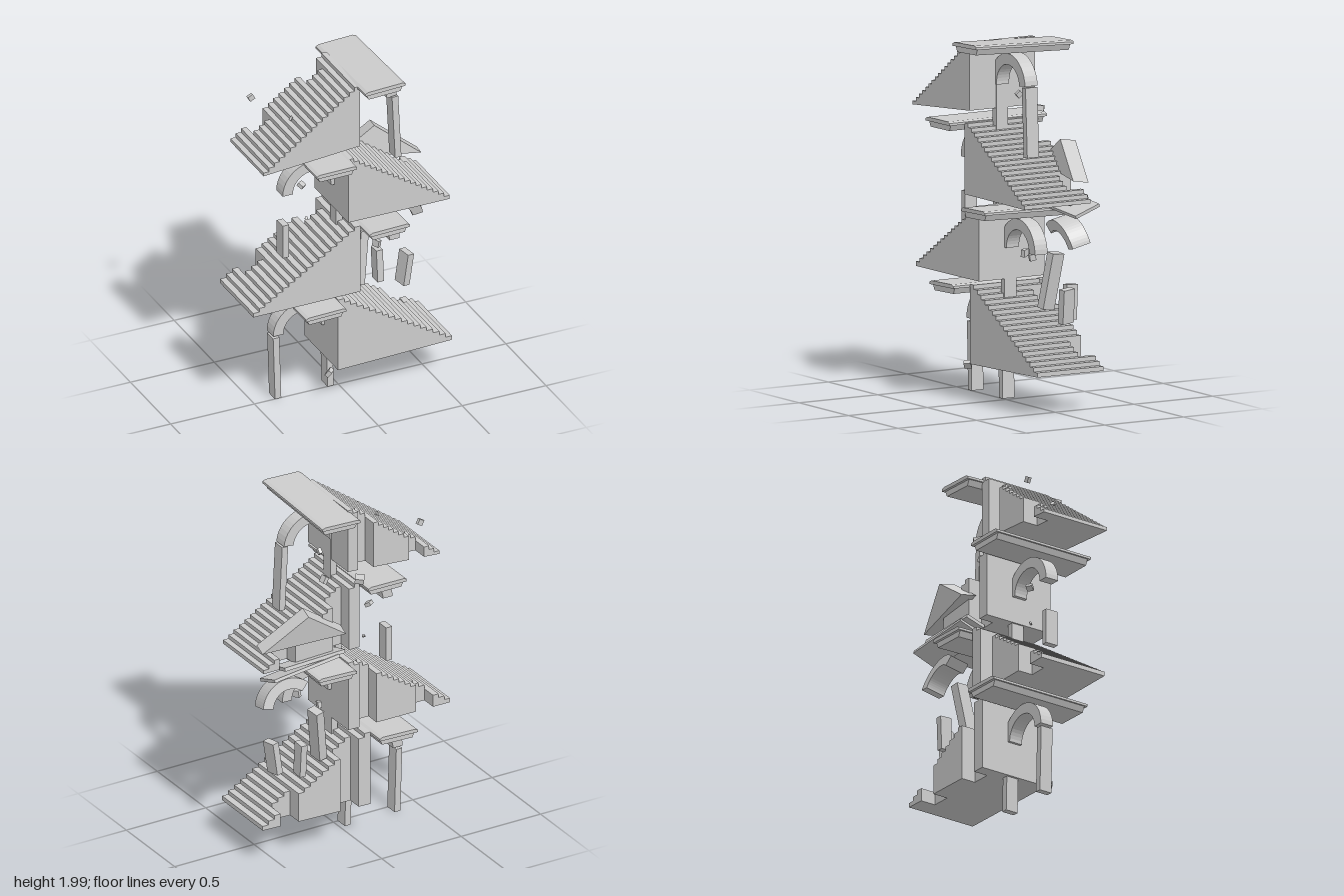
import * as THREE from 'three';

const material = new THREE.MeshStandardMaterial({ color: 0xcccccc, flatShading: true });

// Extrude an xy outline along z between two planes
function prism(points, z0, z1) {
  const shape = new THREE.Shape(points.map(([x, y]) => new THREE.Vector2(x, y)));
  const geo = new THREE.ExtrudeGeometry(shape, { depth: z1 - z0, bevelEnabled: false });
  return geo.translate(0, 0, z0);
}

function add(parent, name, geo, pos = [0, 0, 0], rot = [0, 0, 0]) {
  const mesh = new THREE.Mesh(geo, material);
  mesh.name = name;
  mesh.position.set(...pos);
  mesh.rotation.set(...rot);
  parent.add(mesh);
  return mesh;
}

const box = (parent, name, size, pos, rot) =>
  add(parent, name, new THREE.BoxGeometry(...size), pos, rot);

// Solid stair: side profile cut into runs, some with the back edge broken away
function staircase(parent, { hi, lo, top, low, baseHi, baseLo, back, front }) {
  const group = new THREE.Group();
  group.name = 'staircase';
  const n = 18, run = (lo - hi) / n, rise = (top - low) / (n - 1);
  const base = i => baseHi + (baseLo - baseHi) * i / n;
  const runs = [[0, 2, 0], [2, 5, 0.085], [5, 12, 0], [12, 15, 0.09], [15, n, 0]];
  for (const [a, b, cut] of runs) {
    const pts = [[hi + a * run, base(a)]];
    for (let i = a; i < b; i++) {
      const y = top - i * rise;
      pts.push([hi + i * run, y], [hi + (i + 1) * run, y]);
    }
    pts.push([hi + b * run, base(b)]);
    add(group, 'stairRun', prism(pts, back + cut, front));
  }
  parent.add(group);
}

// Landing slab with sloping sides and a thin lip
function landing(parent, x, y, z, tilt, roll) {
  const group = new THREE.Group();
  group.name = 'landing';
  const w = 0.12;
  const slab = [[-w + 0.025, -0.027], [w - 0.025, -0.027], [w - 0.01, 0.005], [-w + 0.01, 0.005]];
  add(group, 'slab', prism(slab, -0.295, 0.295));
  const lip = [[-w, 0.005], [w, 0.005], [w, 0.018], [w - 0.018, 0.026], [-w + 0.018, 0.026], [-w, 0.018]];
  add(group, 'lip', prism(lip, -0.31, 0.31));
  group.position.set(x, y, z);
  group.rotation.set(tilt, 0, roll);
  parent.add(group);
}

// Ring segment between two angles
function arch(parent, name, pos, rot = [0, 0, 0], R = 0.175, r = 0.115, a0 = 0, a1 = Math.PI, depth = 0.08) {
  const shape = new THREE.Shape();
  shape.absarc(0, 0, R, a0, a1, false);
  shape.absarc(0, 0, r, a1, a0, true);
  const geo = new THREE.ExtrudeGeometry(shape, { depth, bevelEnabled: false, curveSegments: 10 });
  add(parent, name, geo.translate(0, 0, -depth / 2), pos, rot);
}

export function createModel() {
  const model = new THREE.Group();
  model.name = 'brokenStairTower';

  // Four stair flights alternating direction
  [
    { hi: -0.085, lo: 0.595, top: 0.635, low: 0.245, baseHi: 0.2, baseLo: 0.22, back: -0.245, front: 0.175 },
    { hi: 0.04, lo: -0.6, top: 1.075, low: 0.69, baseHi: 0.668, baseLo: 0.665, back: -0.22, front: 0.195 },
    { hi: -0.05, lo: 0.555, top: 1.525, low: 1.155, baseHi: 1.135, baseLo: 1.133, back: -0.19, front: 0.23 },
    { hi: 0.015, lo: -0.56, top: 1.97, low: 1.575, baseHi: 1.6, baseLo: 1.555, back: -0.175, front: 0.24 },
  ].forEach(s => {
    // Shape order follows the direction of the flight; extrusion fixes the winding
    staircase(model, s);
  });

  // Landings beside each flight head
  landing(model, -0.205, 0.61, -0.03, 0, 0.03);
  landing(model, 0.16, 1.055, 0, -0.02, 0.03);
  landing(model, -0.165, 1.51, 0.02, 0, 0.01);
  landing(model, 0.12, 1.95, 0.03, -0.035, 0.04);

  // Arches carrying the landings
  arch(model, 'arch', [-0.215, 0.395, -0.035]);
  arch(model, 'arch', [0.175, 0.84, -0.005]);
  arch(model, 'arch', [-0.185, 1.285, 0.02]);
  arch(model, 'arch', [0.14, 1.74, 0.035], [0, 0, 0.1]);

  // Pillars: x, y bottom, y top, z, lean
  [
    [-0.365, 0.003, 0.38, -0.035, 0.03],
    [-0.052, 0.003, 0.4, -0.035, 0.03],
    [0.02, 0.45, 0.85, -0.005, 0],
    [-0.34, 0.9, 1.1, 0.02, 0],
    [-0.022, 0.9, 1.3, 0.02, 0],
    [0.312, 1.37, 1.75, 0.04, 0.05],
    [0.0, 1.45, 1.75, 0.035, 0],
  ].forEach(([x, y0, y1, z, lean]) =>
    box(model, 'pillar', [0.037, y1 - y0, 0.075], [x, (y0 + y1) / 2, z], [0, 0, lean]));

  // Fallen pillar pieces
  box(model, 'fallenPillar', [0.05, 0.31, 0.08], [0.2, 0.665, -0.16], [-0.1, 0.15, -0.14]);
  box(model, 'fallenPillar', [0.038, 0.19, 0.07], [0.33, 0.565, -0.2], [-0.05, 0, 0.02]);
  box(model, 'fallenPillar', [0.04, 0.19, 0.08], [0.445, 0.565, -0.105], [0.06, 0.2, -0.13]);

  // Drifting gable, plates and arch fragment behind the upper flight
  add(model, 'gable', prism([[-0.23, -0.05], [0.25, -0.1], [0, 0.1]], -0.045, 0.045),
    [0.3, 1.345, -0.19], [-0.15, -0.17, 0]);
  box(model, 'plate', [0.42, 0.018, 0.16], [0.32, 1.105, -0.18], [0.35, 0, -0.1]);
  box(model, 'plate', [0.38, 0.02, 0.12], [0.26, 1.14, -0.18], [0.3, 0, -0.03]);
  arch(model, 'archFragment', [0.385, 0.875, -0.16], [0.25, -0.1, -0.1], 0.17, 0.11, 0.3, 2.4, 0.11);

  // Small floating rubble: x, y, z, size
  [
    [-0.43, 1.79, -0.19, 0.032], [-0.31, 1.76, 0.06, 0.022],
    [0.1, 1.68, -0.02, 0.032], [0.12, 1.55, -0.1, 0.04],
    [-0.21, 1.28, -0.02, 0.035], [-0.19, 1.08, 0.0, 0.015],
    [0.22, 0.835, 0.02, 0.04], [0.14, 0.79, -0.08, 0.035],
    [-0.13, 0.19, 0.16, 0.04], [-0.025, 1.57, -0.23, 0.05],
  ].forEach(([x, y, z, s], i) =>
    box(model, 'rubble', [s, s, s * 0.6], [x, y, z], [0.5 * i, 0.7 * i, 0.5 + 0.4 * i]));

  return model;
}
